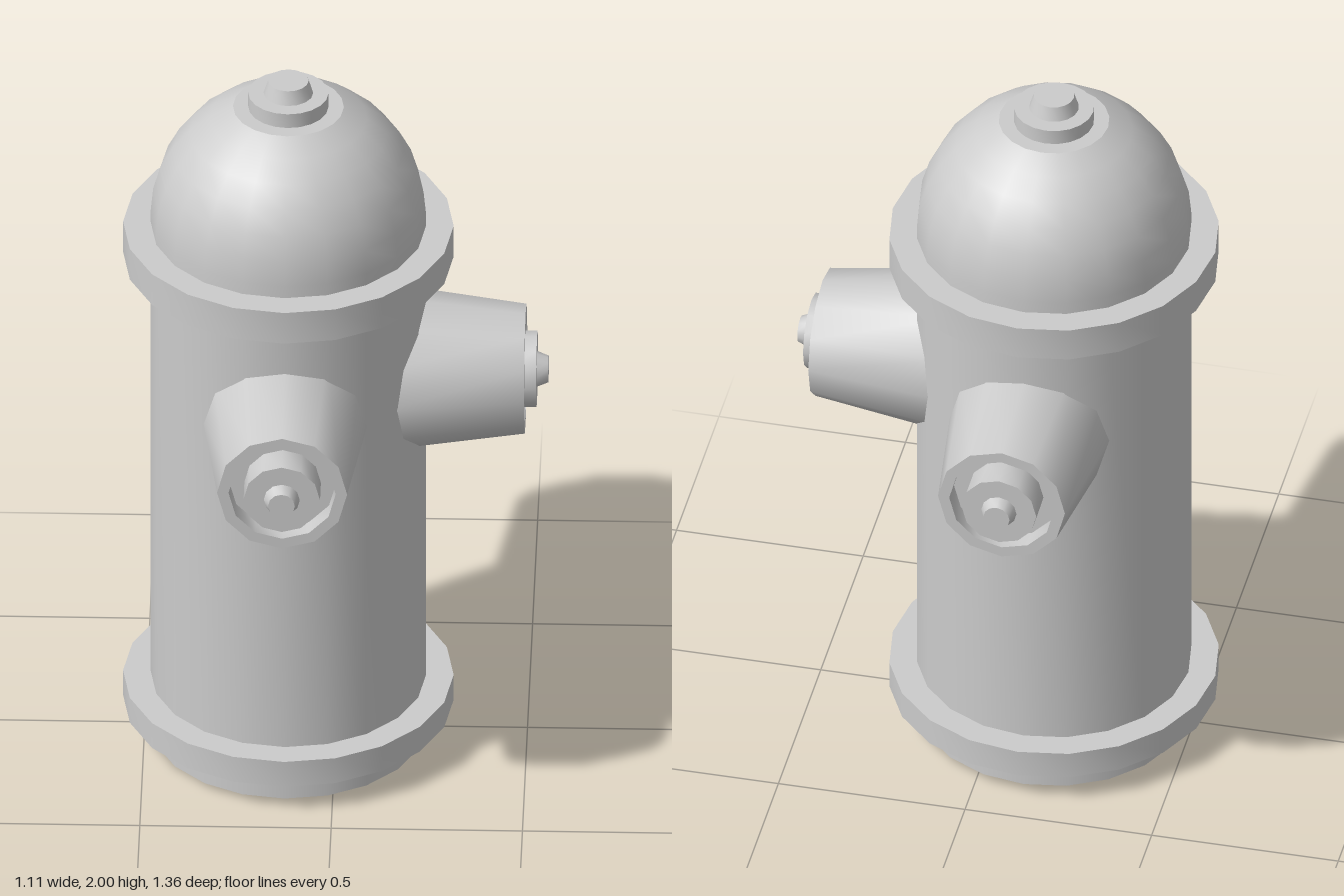
import * as THREE from 'three';
import { toCreasedNormals } from 'three/addons/utils/BufferGeometryUtils.js';

const material = new THREE.MeshStandardMaterial({ color: 0xcccccc });

// Turned part from [radius, height] points listed bottom to top
function turned(name, profile, sides, crease) {
  const points = profile.map(([r, y]) => new THREE.Vector2(r, y));
  const geometry = toCreasedNormals(new THREE.LatheGeometry(points, sides), crease);
  const mesh = new THREE.Mesh(geometry, material);
  mesh.name = name;
  return mesh;
}

const disc = (r0, r1, y0, y1) => [[0, y0], [r0, y0], [r1, y1], [0, y1]];

// Side outlet pointing along +z, with a recessed end, cap and nut
function createOutlet(name) {
  const outlet = new THREE.Group();
  outlet.name = name;
  outlet.add(
    turned('outletBarrel', [[0.219, 0.25], [0.17, 0.62], [0.14, 0.62], [0.14, 0.565], [0, 0.565]], 12, 0.6),
    turned('outletCap', disc(0.1, 0.1, 0.56, 0.65), 12, 0.6),
    turned('outletNut', disc(0.047, 0.035, 0.65, 0.68), 12, 0.6),
  );
  for (const part of outlet.children) part.rotation.x = Math.PI / 2;
  return outlet;
}

export function createModel() {
  const hydrant = new THREE.Group();
  hydrant.name = 'hydrant';

  // Barrel and its two flanges
  hydrant.add(
    turned('barrel', disc(0.36, 0.36, 0, 1.5), 20, 0.38),
    turned('baseFlange', disc(0.432, 0.432, 0.083, 0.16), 20, 0.38),
    turned('topFlange', disc(0.432, 0.432, 1.46, 1.555), 20, 0.38),
  );

  // Dome, cut flat where the top cap sits
  const dome = [[0.36, 1.54]];
  const end = Math.acos(0.145 / 0.36);
  for (let i = 0; i <= 6; i++) {
    const a = (end * i) / 6;
    dome.push([0.36 * Math.cos(a), 1.59 + 0.36 * Math.sin(a)]);
  }
  dome.push([0, 1.92]);
  hydrant.add(
    turned('dome', dome, 20, 0.38),
    turned('topCap', disc(0.105, 0.105, 1.91, 1.962), 20, 0.38),
    turned('topNut', disc(0.065, 0.053, 1.962, 2), 16, 0.45),
  );

  // Outlets at the front, left and back
  ['frontOutlet', 'leftOutlet', 'backOutlet'].forEach((name, i) => {
    const outlet = createOutlet(name);
    outlet.position.y = 1.115;
    outlet.rotation.y = (i * Math.PI) / 2;
    hydrant.add(outlet);
  });

  hydrant.position.x = -0.125;
  const model = new THREE.Group();
  model.name = 'model';
  model.add(hydrant);
  return model;
}
